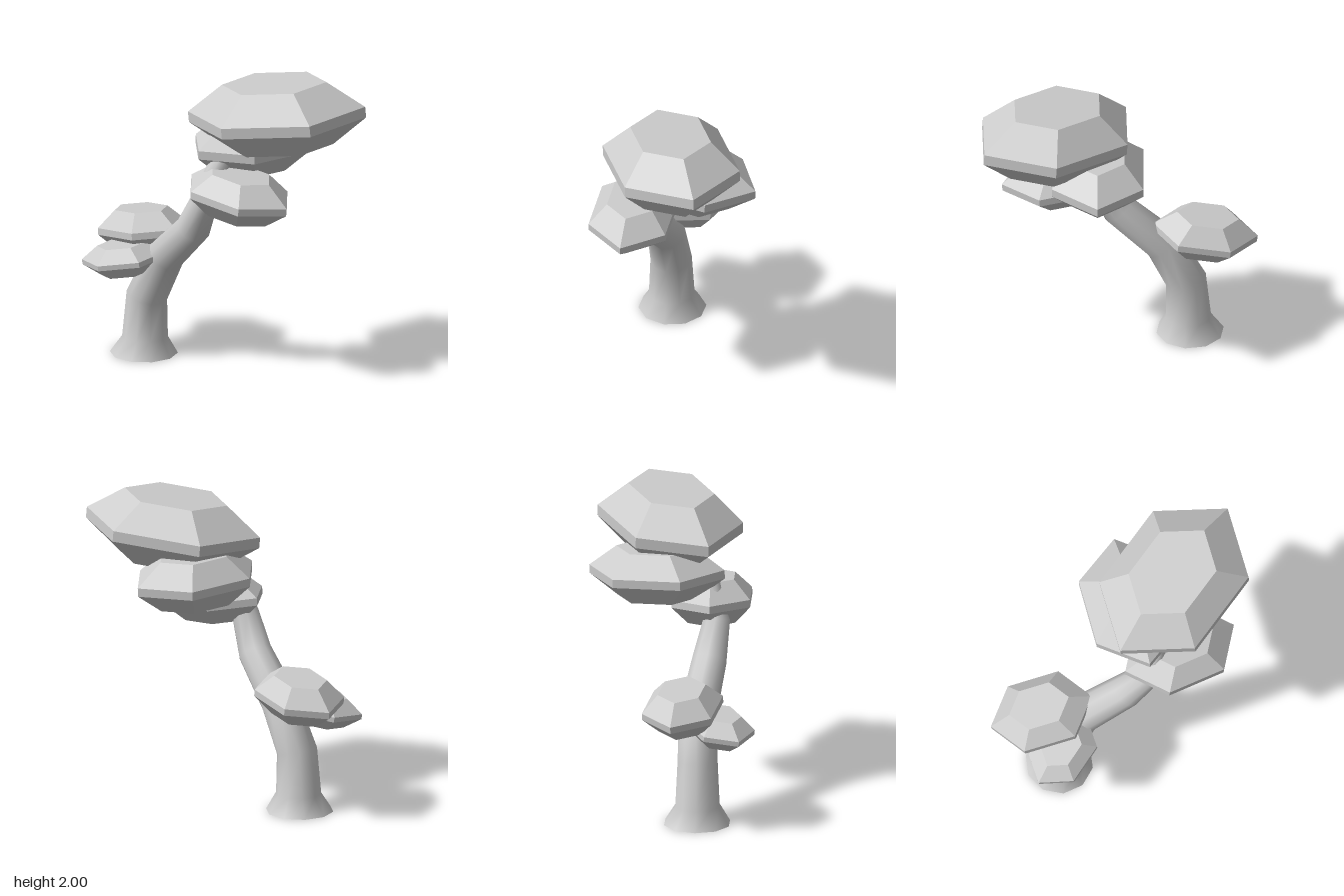
import * as THREE from 'three';

// Skin a stack of closed rings (each an array of Vector3, counter-clockwise about the stack direction)
function loft(rings, capped) {
  const n = rings[0].length;
  const pos = rings.flat().flatMap((p) => [p.x, p.y, p.z]);
  const idx = [];
  for (let i = 0; i < rings.length - 1; i++) {
    for (let j = 0; j < n; j++) {
      const k = (j + 1) % n;
      const a = i * n + j, b = i * n + k, c = a + n, d = b + n;
      idx.push(a, b, d, a, d, c);
    }
  }
  if (capped) {
    const t = (rings.length - 1) * n;
    for (let j = 1; j < n - 1; j++) idx.push(0, j + 1, j, t, t + j, t + j + 1);
  }
  const g = new THREE.BufferGeometry();
  g.setAttribute('position', new THREE.Float32BufferAttribute(pos, 3));
  g.setIndex(idx);
  g.computeVertexNormals();
  return g;
}

// Faceted foliage pad: a stretched hexagon set by two neighbouring corners (x, z),
// tilted by its slopes along x and z, with half height h
function foliagePad({ name, center, a, b, slope, h }, material) {
  const corner = ([x, z]) => new THREE.Vector3(x, slope[0] * x + slope[1] * z, z);
  const A = corner(a), B = corner(b), C = B.clone().sub(A);
  const hex = [A, B, C, A.clone().negate(), B.clone().negate(), C.clone().negate()];
  const up = new THREE.Vector3(-slope[0], 1, -slope[1]).multiplyScalar(h);
  const rings = [[-1, 0.6], [-0.17, 1], [0.17, 1], [1, 0.59]].map(([t, s]) =>
    hex.map((p) => p.clone().multiplyScalar(s).addScaledVector(up, t)));
  const mesh = new THREE.Mesh(loft(rings, true), material);
  mesh.position.set(...center);
  mesh.name = name;
  return mesh;
}

// Tapering tube through [x, y, z, radius] stations
function trunkGeometry(stations, sides) {
  const pts = stations.map(([x, y, z]) => new THREE.Vector3(x, y, z));
  const zAxis = new THREE.Vector3(0, 0, 1);
  const rings = pts.map((p, i) => {
    const t = new THREE.Vector3(0, 1, 0);
    if (i > 1) {
      t.subVectors(p, pts[i - 1]).normalize();
      if (i < pts.length - 1) t.add(pts[i + 1].clone().sub(p).normalize()).normalize();
    }
    const u = t.clone().cross(zAxis).normalize();
    const v = t.clone().cross(u);
    return Array.from({ length: sides }, (_, j) => {
      const ang = ((j + 0.5) / sides) * Math.PI * 2, r = stations[i][3];
      return p.clone().addScaledVector(u, r * Math.cos(ang)).addScaledVector(v, r * Math.sin(ang));
    });
  });
  return loft(rings, false);
}

export function createModel() {
  const group = new THREE.Group();
  group.name = 'bentTree';

  // Bent trunk with a flared foot
  const bark = new THREE.MeshStandardMaterial({ color: 0xcccccc, side: THREE.DoubleSide });
  const trunk = new THREE.Mesh(trunkGeometry([
    [-0.59, 0.005, -0.06, 0.22],
    [-0.58, 0.12, -0.055, 0.148],
    [-0.565, 0.40, -0.05, 0.134],
    [-0.42, 0.70, -0.01, 0.125],
    [-0.17, 0.96, 0.13, 0.113],
    [-0.06, 1.19, 0.205, 0.09],
    [0.03, 1.43, 0.18, 0.07],
    [0.06, 1.53, 0.12, 0.05],
  ], 10), bark);
  trunk.name = 'trunk';
  group.add(trunk);

  // Foliage pads
  const leaf = new THREE.MeshStandardMaterial({ color: 0xcccccc, flatShading: true });
  const pads = [
    { name: 'crownPad', center: [0.362, 1.762, 0.005], a: [0.573, -0.108], b: [0.215, -0.43], slope: [0.09, -0.019], h: 0.21 },
    { name: 'upperBackPad', center: [0.127, 1.49, -0.143], a: [-0.155, -0.397 + 0.06], b: [-0.366, 0.06], slope: [-0.015, 0.03], h: 0.165 },
    { name: 'upperFrontPad', center: [0.19, 1.263, 0.238], a: [-0.26, 0.188], b: [0.115, 0.299], slope: [-0.1, -0.01], h: 0.142 },
    { name: 'lowerBackPad', center: [-0.642, 0.81, -0.17], a: [-0.036, -0.28], b: [-0.298, -0.158], slope: [0.12, 0.08], h: 0.13 },
    { name: 'lowerFrontPad', center: [-0.682, 0.672, 0.067], a: [-0.262, 0.06], b: [-0.093, 0.209], slope: [0.14, -0.04], h: 0.097 },
  ];
  for (const pad of pads) group.add(foliagePad(pad, leaf));

  return group;
}
